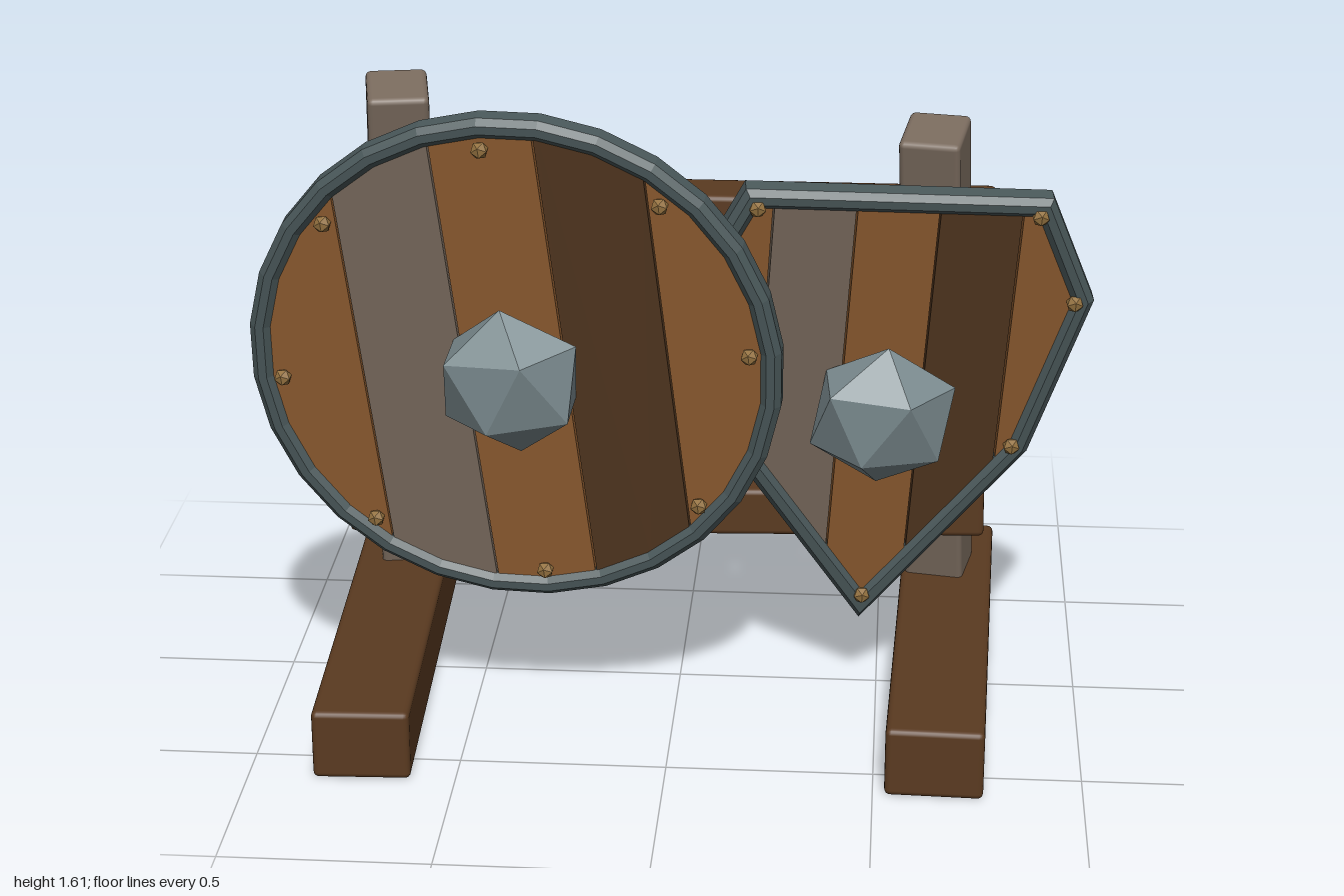
import * as THREE from 'three';
import { RoundedBoxGeometry } from 'three/addons/geometries/RoundedBoxGeometry.js';

const mat = (name, color) => Object.assign(new THREE.MeshStandardMaterial({ color }), { name });
const M = {
  beam: mat('dark beam wood', 0x5a3a20),
  post: mat('grey wood', 0x7a6b5e),
  oak: mat('oak wood', 0x8f5d31),
  dark: mat('dark plank wood', 0x523720),
  iron: mat('dark iron', 0x4a585a),
  steel: mat('pale steel', 0x7b8b8f),
  brass: mat('brass', 0x93713f),
  strap: mat('tan leather', 0x9c8d6a),
};
const V = (x, y, z) => new THREE.Vector3(x, y, z);

function add(parent, name, geometry, material, x = 0, y = 0, z = 0) {
  const mesh = new THREE.Mesh(geometry, material);
  mesh.name = name;
  mesh.position.set(x, y, z);
  parent.add(mesh);
  return mesh;
}

const timber = (w, h, d, r = 0.014) => new RoundedBoxGeometry(w, h, d, 2, r);

// A timber running from a to b, twisted about its own axis
function strut(parent, name, a, b, w, d, material, twist = 0, r = 0.014) {
  const dir = b.clone().sub(a);
  const mesh = add(parent, name, timber(w, dir.length(), d, r), material);
  mesh.position.copy(a).add(b).multiplyScalar(0.5);
  mesh.quaternion.setFromUnitVectors(V(0, 1, 0), dir.normalize());
  mesh.rotateY(twist);
  return mesh;
}

// Shrinks a convex counter-clockwise outline by a fixed distance
function inset(points, dist) {
  const n = points.length;
  const normal = (a, b) => new THREE.Vector2(a.y - b.y, b.x - a.x).normalize();
  return points.map((p, i) => {
    const n1 = normal(points[(i + n - 1) % n], p);
    const n2 = normal(p, points[(i + 1) % n]);
    const k = dist / (1 + n1.dot(n2));
    return p.clone().add(n1.add(n2).multiplyScalar(k));
  });
}

// Keeps the side of an outline where sign * (x - limit) is positive
function clip(points, limit, sign) {
  const out = [];
  points.forEach((p, i) => {
    const q = points[(i + 1) % points.length];
    const a = sign * (p.x - limit), b = sign * (q.x - limit);
    if (a >= 0) out.push(p.clone());
    if (a * b < 0) out.push(p.clone().lerp(q, a / (a - b)));
  });
  return out;
}

// Faceted boss: an icosahedron standing on one vertex, flattened front to back
function bossGeometry() {
  const g = new THREE.IcosahedronGeometry(0.188, 0);
  g.rotateX(-Math.atan2(0.8507, 0.5257));
  g.rotateY(Math.PI / 2);
  g.scale(1, 1, 0.66);
  g.computeVertexNormals();
  return g;
}

function shield(name, outline, pitch, nails, rails) {
  const g = new THREE.Group();
  g.name = name;

  // Iron rim
  const rim = new THREE.Shape(outline);
  rim.holes.push(new THREE.Path(inset(outline, 0.05).reverse()));
  const rimGeo = new THREE.ExtrudeGeometry(rim, {
    depth: 0.042, bevelEnabled: true, bevelThickness: 0.015, bevelSize: 0.015,
    bevelOffset: -0.015, bevelSegments: 1,
  });
  add(g, 'rim', rimGeo, M.iron, 0, 0, -0.021);

  // Five planks cut to the outline
  const field = inset(outline, 0.03);
  [M.oak, M.post, M.oak, M.dark, M.oak].forEach((material, i) => {
    const x = (i - 2) * pitch;
    const cut = clip(clip(field, x - pitch / 2 + 0.002, 1), x + pitch / 2 - 0.002, -1);
    const geo = new THREE.ExtrudeGeometry(new THREE.Shape(cut), { depth: 0.072, bevelEnabled: false });
    add(g, 'plank', geo, material, 0, 0, -0.05);
  });

  add(g, 'boss', bossGeometry(), M.steel, 0, -0.01, 0.085);
  for (const p of nails) {
    add(g, 'nail', new THREE.IcosahedronGeometry(0.022, 0), M.brass, p.x, p.y, 0.034);
  }

  // Iron rails across the back
  for (const [y, length] of rails) {
    const geo = new THREE.CylinderGeometry(0.03, 0.03, length, 8).rotateZ(Math.PI / 2).scale(1, 1, 0.65);
    add(g, 'backRail', geo, M.iron, 0, y, -0.066);
  }
  return g;
}

function ring(radius, count, start = 0) {
  return Array.from({ length: count }, (_, i) => {
    const a = start + (i / count) * Math.PI * 2;
    return new THREE.Vector2(Math.cos(a) * radius, Math.sin(a) * radius);
  });
}

export function createModel() {
  const model = new THREE.Group();
  model.name = 'shieldRack';

  // Two sides: foot, leaning post and the brace that passes through it
  const sides = [
    { s: 1, foot: -0.745, low: V(-0.745, 0.15, -0.362), top: V(-0.7, 1.522, -0.112), brace: [-0.75, -0.70] },
    { s: -1, foot: 0.665, low: V(0.657, 0.15, -0.362), top: V(0.61, 1.437, -0.112), brace: [0.665, 0.615] },
  ];
  for (const { s, foot, low, top, brace } of sides) {
    add(model, 'foot', timber(0.235, 0.175, 1.22), M.beam, foot, 0.0875, 0).rotation.y = s * 0.033;
    strut(model, 'post', low, top, 0.15, 0.172, M.post, s * 0.18);
    strut(model, 'brace', V(brace[0], 0.16, -0.518), V(brace[1], 1.11, -0.115), 0.1, 0.118, M.oak, s * 0.1);
  }

  // Crossbars
  add(model, 'upperBar', timber(1.63, 0.13, 0.145), M.beam, -0.048, 1.185, -0.19);
  add(model, 'lowerBar', timber(1.625, 0.125, 0.145), M.beam, -0.05, 0.4, -0.19).rotation.z = 0.022;

  // Round shield
  const round = shield('roundShield', ring(0.637, 28), 0.245,
    ring(0.562, 8), [[0.2, 0.88], [-0.21, 0.84]]);
  round.position.set(-0.367, 0.98, 0.33);
  round.rotation.set(0.127, -0.055, 0.107);
  model.add(round);

  // Pointed shield, mirrored outline
  const half = [[0.37, -0.14], [0.485, 0.29], [0.36, 0.56]];
  const outline = [[0, -0.65], ...half, ...half.map(([x, y]) => [-x, y]).reverse()]
    .map(([x, y]) => new THREE.Vector2(x, y));
  const pointed = shield('pointedShield', outline, 0.195, inset(outline, 0.045), [[0.17, 0.68], [-0.19, 0.7]]);
  pointed.position.set(0.4925, 0.845, 0.14);
  pointed.rotation.set(0.18, 0.1, -0.065);
  model.add(pointed);

  // Bent leather grip behind the pointed shield
  const grip = [V(0.68, 1.21, -0.005), V(0.865, 1.09, 0.055), V(0.86, 0.9, 0.08), V(0.73, 0.9, 0.085)];
  for (let i = 0; i < 3; i++) strut(model, 'grip', grip[i], grip[i + 1], 0.03, 0.035, M.strap, 0, 0.005);

  return model;
}
